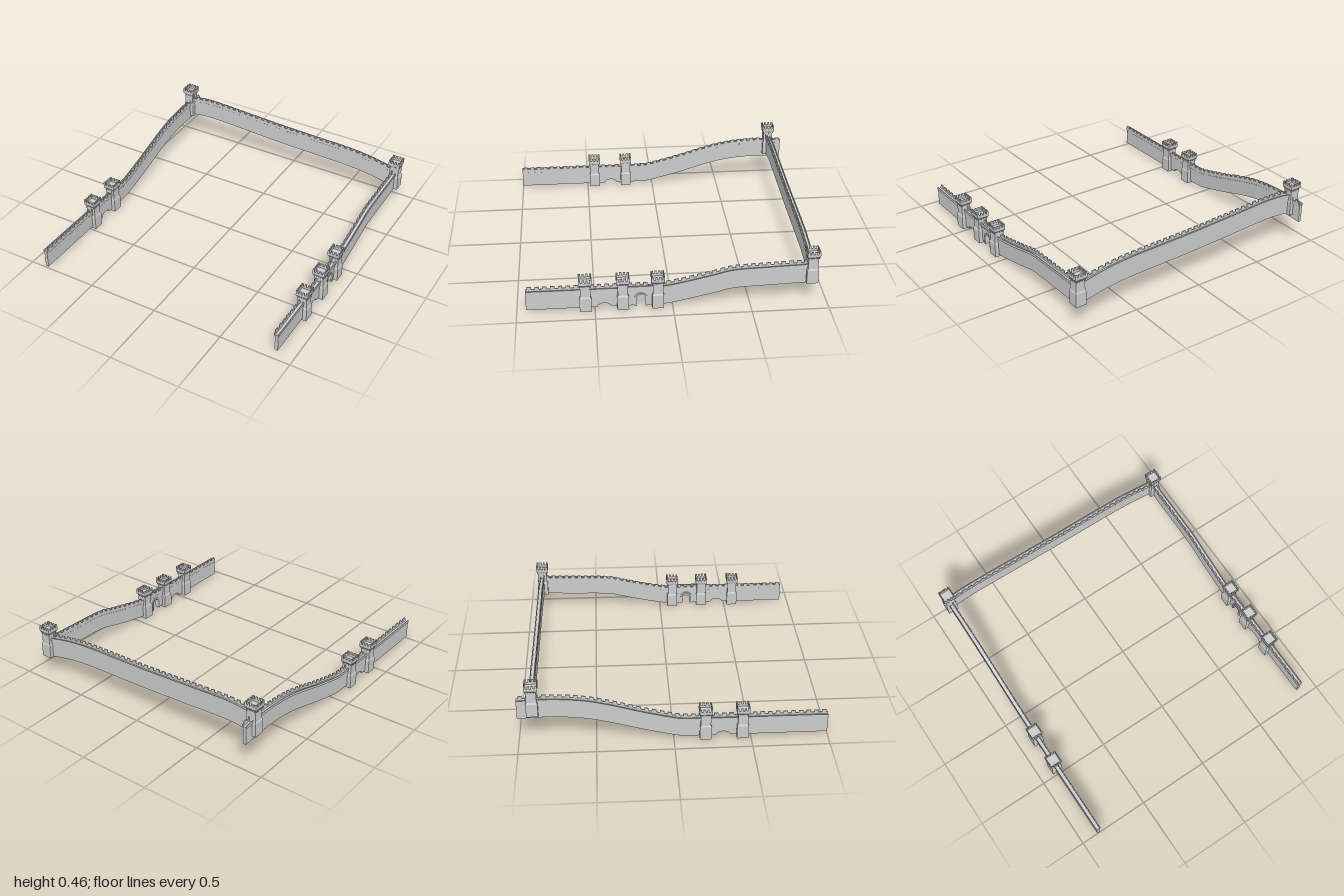
import * as THREE from 'three';

const mat = new THREE.MeshStandardMaterial({ color: 0xcccccc, flatShading: true, side: THREE.DoubleSide });

function add(parent, name, geometry, x = 0, y = 0, z = 0) {
  const mesh = new THREE.Mesh(geometry, mat);
  mesh.name = name;
  mesh.position.set(x, y, z);
  parent.add(mesh);
  return mesh;
}

// Smooth ground line through a few [position, height] points
function groundLine(points) {
  const line = new THREE.SplineCurve(points.map(p => new THREE.Vector2(...p))).getPoints(72);
  return s => {
    let i = 1;
    while (i < line.length - 1 && line[i].x < s) i++;
    const a = line[i - 1], b = line[i];
    return THREE.MathUtils.lerp(a.y, b.y, (s - a.x) / (b.x - a.x));
  };
}

// Side outline (lower edge, then upper edge backwards) extruded across the wall
function strip(lower, upper, u0, u1) {
  const outline = [...lower, ...[...upper].reverse()].map(p => new THREE.Vector2(...p));
  const geometry = new THREE.ExtrudeGeometry(new THREE.Shape(outline), { depth: u1 - u0, bevelEnabled: false });
  return geometry.translate(0, 0, u0);
}

// Wall running along local x; +z is the crenellated side
function makeWall(name, points, height, arches = []) {
  const wall = new THREE.Group();
  wall.name = name;
  const ground = groundLine(points);
  const start = points[0][0], end = points[points.length - 1][0];
  const samples = Array.from({ length: 61 }, (_, i) => start + (end - start) * i / 60);
  const edge = h => samples.map(s => [s, ground(s) + h]);

  // Body with arched openings cut into its foot
  let lower = edge(0);
  for (const { s, r, spring, rise } of arches) {
    const arch = [[s - r, ground(s - r)]];
    for (let i = 0; i <= 12; i++) {
      const a = Math.PI * (1 - i / 12);
      arch.push([s + r * Math.cos(a), spring + 0.001 + rise * Math.sin(a)]);
    }
    arch.push([s + r, ground(s + r)]);
    lower = [...lower.filter(p => p[0] < s - r - 0.001), ...arch, ...lower.filter(p => p[0] > s + r + 0.001)];
  }
  add(wall, 'wallBody', strip(lower, edge(height - 0.03), -0.011, 0.011));

  // Low plain parapet
  add(wall, 'plainParapet', strip(edge(height - 0.036), edge(height - 0.018), -0.016, -0.011));

  // Overhanging parapet with merlons
  const top = [];
  const count = Math.round((end - start) / 0.05), pitch = (end - start) / count;
  for (let i = 0; i < count; i++) {
    const a = start + pitch * (i + 0.22), b = start + pitch * (i + 0.78);
    if (i === 0) top.push([start, ground(start) + height - 0.016]);
    top.push([a, ground(a) + height - 0.016], [a, ground(a) + height]);
    top.push([b, ground(b) + height], [b, ground(b) + height - 0.016]);
  }
  top.push([end, ground(end) + height - 0.016]);
  add(wall, 'crenellatedParapet', strip(edge(height - 0.038), top, 0.0105, 0.017));

  // Corbels under the overhang
  for (let i = 0; i < count * 2; i++) {
    const s = start + pitch * (i + 0.5) / 2;
    add(wall, 'corbel', new THREE.BoxGeometry(0.011, 0.008, 0.005), s, ground(s) + height - 0.041, 0.013);
  }
  return wall;
}

// Square tower: battered foot, shaft, flared head with merlons
function makeTower(name, x, y, z) {
  const tower = new THREE.Group();
  tower.name = name;
  tower.position.set(x, y, z);
  const profile = [[0, 0], [0.038, 0], [0.038, 0.095], [0.033, 0.105], [0.033, 0.182], [0.0425, 0.195],
    [0.0425, 0.216], [0.0365, 0.216], [0.0365, 0.2], [0, 0.2]];
  const geometry = new THREE.LatheGeometry(profile.map(p => new THREE.Vector2(p[0] * Math.SQRT2, p[1])), 4);
  add(tower, 'towerBody', geometry.rotateY(Math.PI / 4));
  const steps = [-0.0355, -0.012, 0.012, 0.0355];
  for (const a of steps) for (const b of [-0.0395, 0.0395]) {
    add(tower, 'towerMerlon', new THREE.BoxGeometry(0.014, 0.019, 0.006), a, 0.2255, b);
    add(tower, 'towerMerlon', new THREE.BoxGeometry(0.006, 0.019, 0.014), b, 0.2255, a);
  }
  // Corbels below the head
  for (const a of [-0.027, -0.009, 0.009, 0.027]) for (const b of [-0.0355, 0.0355]) {
    add(tower, 'towerCorbel', new THREE.BoxGeometry(0.008, 0.012, 0.006), a, 0.183, b);
    add(tower, 'towerCorbel', new THREE.BoxGeometry(0.006, 0.012, 0.008), b, 0.183, a);
  }
  return tower;
}

// Raised arch surround and a small projecting gallery over the gate
function makeGate() {
  const gate = new THREE.Group();
  gate.name = 'gate';
  const archPath = (path, r) => {
    path.moveTo(-r, 0.012);
    path.lineTo(-r, 0.065);
    path.absarc(0, 0.065, r, Math.PI, 0, true);
    path.lineTo(r, 0.012);
  };
  const surround = new THREE.Shape();
  archPath(surround, 0.042);
  surround.lineTo(0.03, 0.012);
  surround.lineTo(0.03, 0.065);
  surround.absarc(0, 0.065, 0.03, 0, Math.PI, false);
  surround.lineTo(-0.03, 0.012);
  const geometry = new THREE.ExtrudeGeometry(surround, { depth: 0.034, bevelEnabled: false, curveSegments: 12 });
  add(gate, 'archSurround', geometry, 0, 0, -0.017);
  add(gate, 'gallery', new THREE.BoxGeometry(0.16, 0.018, 0.008), 0, 0.151, -0.018);
  for (let i = 0; i < 8; i++) {
    add(gate, 'galleryCorbel', new THREE.BoxGeometry(0.009, 0.01, 0.007), -0.07 + i * 0.02, 0.138, -0.0145);
  }
  return gate;
}

export function createModel() {
  const model = new THREE.Group();
  model.name = 'fortressWalls';
  const side = 0.872, back = -0.9;

  // Left-hand wall: local x runs along +z
  const left = makeWall('leftWall', [[-0.89, 0.13], [-0.65, 0.122], [-0.4, 0.112], [-0.28, 0.085], [-0.12, 0.048],
    [0, 0.024], [0.08, 0.015], [0.3, 0.015], [0.6, 0.015], [0.94, 0.015]], 0.155, [
    { s: 0.21, r: 0.032, spring: 0.065, rise: 0.032 },
    { s: 0.44, r: 0.045, spring: 0.015, rise: 0.026 }]);
  left.rotation.y = -Math.PI / 2;
  left.position.x = side;
  const gate = makeGate();
  gate.position.x = 0.205;
  left.add(gate);
  model.add(left);

  // Right-hand wall: local x runs along -z
  const right = makeWall('rightWall', [[-1, 0.015], [-0.6, 0.015], [-0.3, 0.015], [-0.08, 0.017], [0, 0.028],
    [0.2, 0.08], [0.4, 0.14], [0.55, 0.177], [0.7, 0.195], [0.85, 0.2], [1, 0.192]], 0.155, [
    { s: -0.32, r: 0.045, spring: 0.015, rise: 0.026 }]);
  right.rotation.y = Math.PI / 2;
  right.position.x = -side;
  model.add(right);

  // Rear wall
  const rear = makeWall('rearWall', [[-0.87, 0.222], [-0.68, 0.24], [-0.3, 0.222], [0, 0.207], [0.25, 0.2],
    [0.5, 0.192], [0.68, 0.172], [0.87, 0.132]], 0.163);
  rear.position.z = back;
  model.add(rear);

  // Towers
  for (const z of [0.56, 0.32, 0.095]) model.add(makeTower('leftTower', side, 0, z));
  for (const z of [0.445, 0.205]) model.add(makeTower('rightTower', -side, 0, z));
  model.add(makeTower('rearLeftTower', side, 0.135, back));
  model.add(makeTower('rearRightTower', -side, 0.222, back));
  return model;
}
